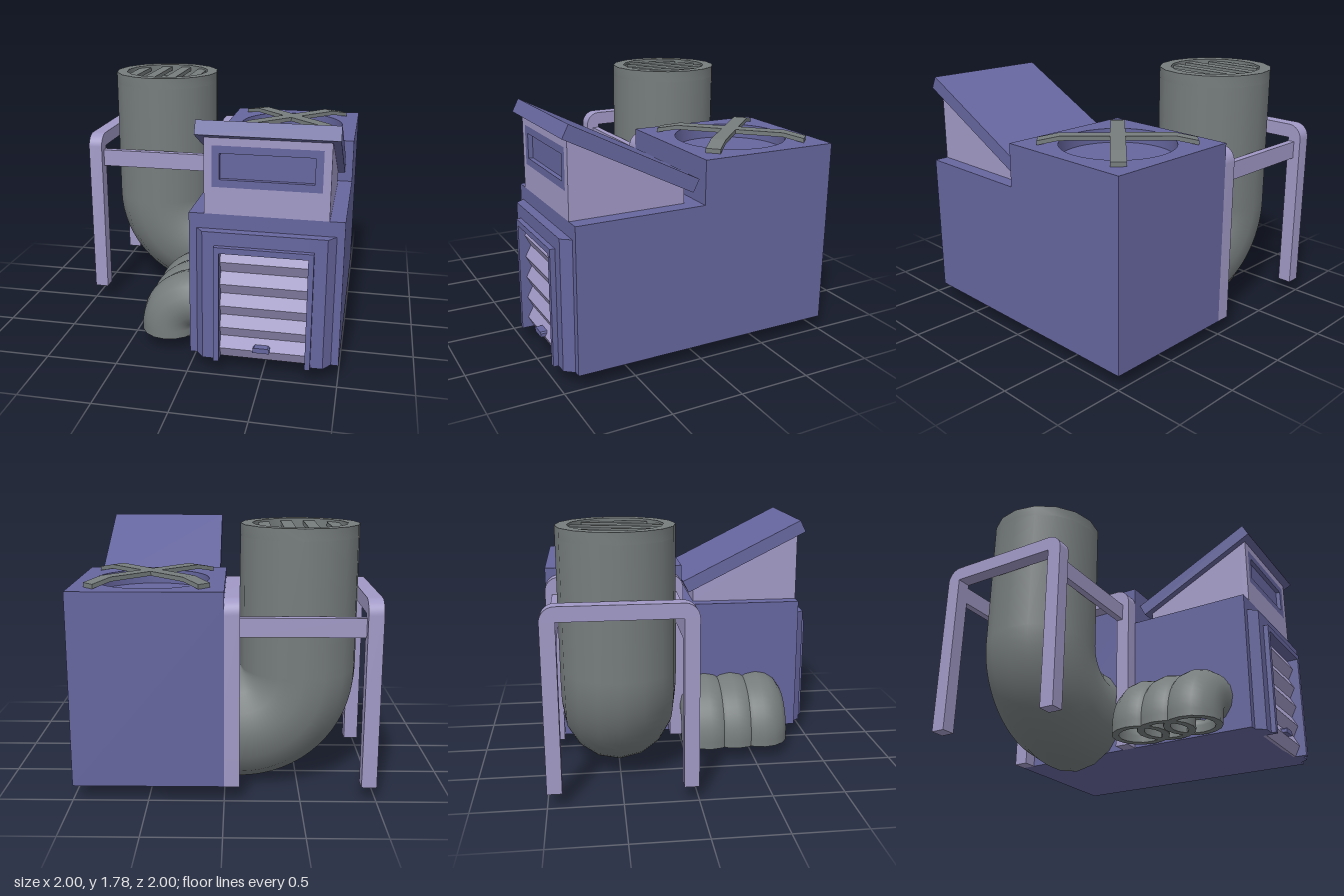
import * as THREE from 'three';
import { toCreasedNormals } from 'three/addons/utils/BufferGeometryUtils.js';

const material = (name, color, side = THREE.FrontSide) => {
  const m = new THREE.MeshStandardMaterial({ color, side });
  m.name = name;
  return m;
};

const shapeOf = pts => new THREE.Shape(pts.map(p => new THREE.Vector2(p[0], p[1])));
const extrude = (shape, depth) =>
  new THREE.ExtrudeGeometry(shape, { depth, bevelEnabled: false, curveSegments: 8 });
// Side outline given as (z, y), running from x0 to x1
const alongX = (shape, x0, x1) => extrude(shape, x1 - x0).rotateY(-Math.PI / 2).translate(x1, 0, 0);
// Plan outline given as (x, -z), running from y0 to y1
const alongY = (shape, y0, y1) => extrude(shape, y1 - y0).rotateX(-Math.PI / 2).translate(0, y0, 0);
const alongZ = (shape, z0, z1) => extrude(shape, z1 - z0).translate(0, 0, z0);
const box = (x0, x1, y0, y1, z0, z1) =>
  new THREE.BoxGeometry(x1 - x0, y1 - y0, z1 - z0).translate((x0 + x1) / 2, (y0 + y1) / 2, (z0 + z1) / 2);
const rect = (x0, x1, y0, y1) => shapeOf([[x0, y0], [x1, y0], [x1, y1], [x0, y1]]);
const frame = (outer, inner) => {
  outer.holes.push(inner);
  return outer;
};

export function createModel() {
  const model = new THREE.Group();
  const purple = material('purple', 0x66669f);
  const lilac = material('lilac', 0xa199c6);
  const grey = material('grey', 0x767c7c, THREE.DoubleSide);

  const add = (name, geometry, mat, parent = model) => {
    const mesh = new THREE.Mesh(geometry, mat);
    mesh.name = name;
    parent.add(mesh);
    return mesh;
  };
  const group = name => {
    const g = new THREE.Group();
    g.name = name;
    model.add(g);
    return g;
  };

  // Stepped main housing; the rear top has a round fan recess
  add('housing', alongX(shapeOf([[-1, 0.1], [0.9, 0.1], [0.9, 1.1], [0, 1.1], [0, 1.3], [-1, 1.3]]), 0, 1), purple);
  const deck = rect(0, 1, 0, 1);
  deck.holes.push(new THREE.Path().absarc(0.5, 0.5, 0.39, 0, Math.PI * 2, true));
  add('fanDeck', extrudeSmooth(deck), purple);
  function extrudeSmooth(shape) {
    const g = new THREE.ExtrudeGeometry(shape, { depth: 0.1, bevelEnabled: false, curveSegments: 32 });
    return toCreasedNormals(g.rotateX(-Math.PI / 2).translate(0, 1.3, 0), 0.6);
  }

  // Crossed guard bars with bent ends
  const guard = group('fanGuard');
  const bar = shapeOf([[-0.525, 1.4], [-0.525, 1.43], [-0.38, 1.46], [0.38, 1.46], [0.525, 1.43],
    [0.525, 1.4], [0.38, 1.43], [-0.38, 1.43]]);
  for (const a of [-1, 1]) {
    add('guardBar', alongX(bar, -0.05, 0.05).rotateY(a * Math.PI / 4), grey, guard).position.set(0.5, 0, -0.5);
  }

  // Control cabin with recessed window and sloping roof
  const cabin = group('cabin');
  add('cabinBody', alongX(shapeOf([[0.1, 1.1], [0.86, 1.1], [0.86, 1.58], [0.1, 1.2]]), 0.1, 0.9), lilac, cabin);
  add('cabinFront', alongZ(frame(rect(0.1, 0.9, 1.1, 1.6), rect(0.15, 0.85, 1.28, 1.55)), 0.86, 0.9), lilac, cabin);
  add('windowFrame', alongZ(frame(rect(0.15, 0.85, 1.28, 1.55), rect(0.2, 0.8, 1.33, 1.5)), 0.86, 0.9), purple, cabin);
  add('windowPane', box(0.2, 0.8, 1.33, 1.5, 0.86, 0.868), purple, cabin);
  add('cabinRoof', alongX(shapeOf([[0.06, 1.18], [0.95, 1.625], [0.907, 1.71], [0.017, 1.265]]), 0.05, 0.95), purple, cabin);

  // Doorway: tapered jambs, lintel, raised surround
  const door = group('doorway');
  const jambs = [
    [[0.05, -0.9], [0.1, -0.965], [0.215, -0.965], [0.215, -0.9]],
    [[0.95, -0.9], [0.9, -0.965], [0.785, -0.965], [0.785, -0.9]],
  ];
  for (const j of jambs) add('jamb', alongY(shapeOf(j), 0.1, 1), purple, door);
  add('lintel', box(0.215, 0.785, 0.87, 1, 0.9, 0.965), purple, door);
  add('surround', alongZ(shapeOf([[0.18, 0.1], [0.215, 0.1], [0.215, 0.87], [0.785, 0.87], [0.785, 0.1],
    [0.82, 0.1], [0.82, 0.91], [0.18, 0.91]]), 0.965, 1), purple, door);

  // Zigzag roller shutter and its handle
  const zigzag = [[0.89, 0.1], [0.89, 0.87]];
  for (let i = 0; i <= 10; i++) zigzag.push([i % 2 ? 0.955 : 0.915, 0.87 - 0.077 * i]);
  add('shutter', alongX(shapeOf(zigzag), 0.215, 0.785), lilac, door);
  add('shutterHandle', alongZ(shapeOf([[0.44, 0.18], [0.55, 0.18], [0.55, 0.205], [0.54, 0.215],
    [0.45, 0.215], [0.44, 0.205]]), 0.93, 0.985), purple, door);

  // Exhaust stack: upright pipe, bend and short run into the housing
  const stack = group('exhaustStack');
  const pipe = (r, length) => new THREE.CylinderGeometry(r, r, length, 16, 1, true);
  add('stackPipe', pipe(0.4, 0.9).translate(-0.5, 1.25, -0.5), grey, stack);
  add('stackBend', new THREE.TorusGeometry(0.4, 0.4, 16, 16, Math.PI / 2).rotateZ(Math.PI).translate(-0.1, 0.8, -0.5), grey, stack);
  add('stackInlet', pipe(0.4, 0.1).rotateZ(Math.PI / 2).translate(-0.05, 0.4, -0.5), grey, stack);
  const rim = [[0.4, 1.7], [0.4, 1.78], [0.32, 1.78], [0.32, 1.69], [0.24, 1.69], [0.24, 1.6]]
    .map(p => new THREE.Vector2(p[0], p[1]));
  add('stackRim', toCreasedNormals(new THREE.LatheGeometry(rim, 16), 0.7).translate(-0.5, 0, -0.5), grey, stack);
  for (let i = 0; i < 4; i++) {
    const x = -0.74 + 0.159 * i;
    const half = Math.sqrt(0.32 ** 2 - (x + 0.5) ** 2) + 0.01;
    add('grilleSlat', box(x - 0.039, x + 0.039, 1.735, 1.765, -0.5 - half, -0.5 + half), grey, stack);
  }

  // Three overlapping side vents, open at the bottom
  const vents = group('sideVents');
  for (const z of [0.175, 0.375, 0.575]) {
    for (const r of [0.2, 0.15]) {
      add('ventBend', new THREE.TorusGeometry(0.2, r, 16, 12, Math.PI / 2).rotateZ(Math.PI / 2).translate(-0.02, 0.15, z), grey, vents);
      add('ventMouth', pipe(r, 0.05).translate(-0.22, 0.125, z), grey, vents);
    }
    add('ventInlet', pipe(0.2, 0.02).rotateZ(Math.PI / 2).translate(-0.01, 0.35, z), grey, vents);
    add('ventLip', new THREE.RingGeometry(0.15, 0.2, 16).rotateX(Math.PI / 2).translate(-0.22, 0.1, z), grey, vents);
  }

  // Support rack: two arched frames joined by crossbars
  const rack = group('supportRack');
  const arch = new THREE.Shape();
  arch.moveTo(-1, 0.1);
  arch.lineTo(-1, 1.25);
  arch.absarc(-0.9, 1.25, 0.1, Math.PI, Math.PI / 2, true);
  arch.absarc(-0.1, 1.25, 0.1, Math.PI / 2, 0, true);
  for (const [z, y] of [[0, 0.1], [-0.1, 0.1], [-0.1, 1.25], [-0.9, 1.25], [-0.9, 0.1]]) arch.lineTo(z, y);
  for (const x of [-1, -0.1]) add('rackFrame', toCreasedNormals(alongX(arch, x, x + 0.1), 0.6), lilac, rack);
  for (const z of [-0.95, -0.1]) add('rackCrossbar', box(-0.9, -0.1, 1.1, 1.225, z, z + 0.05), lilac, rack);

  return model;
}
